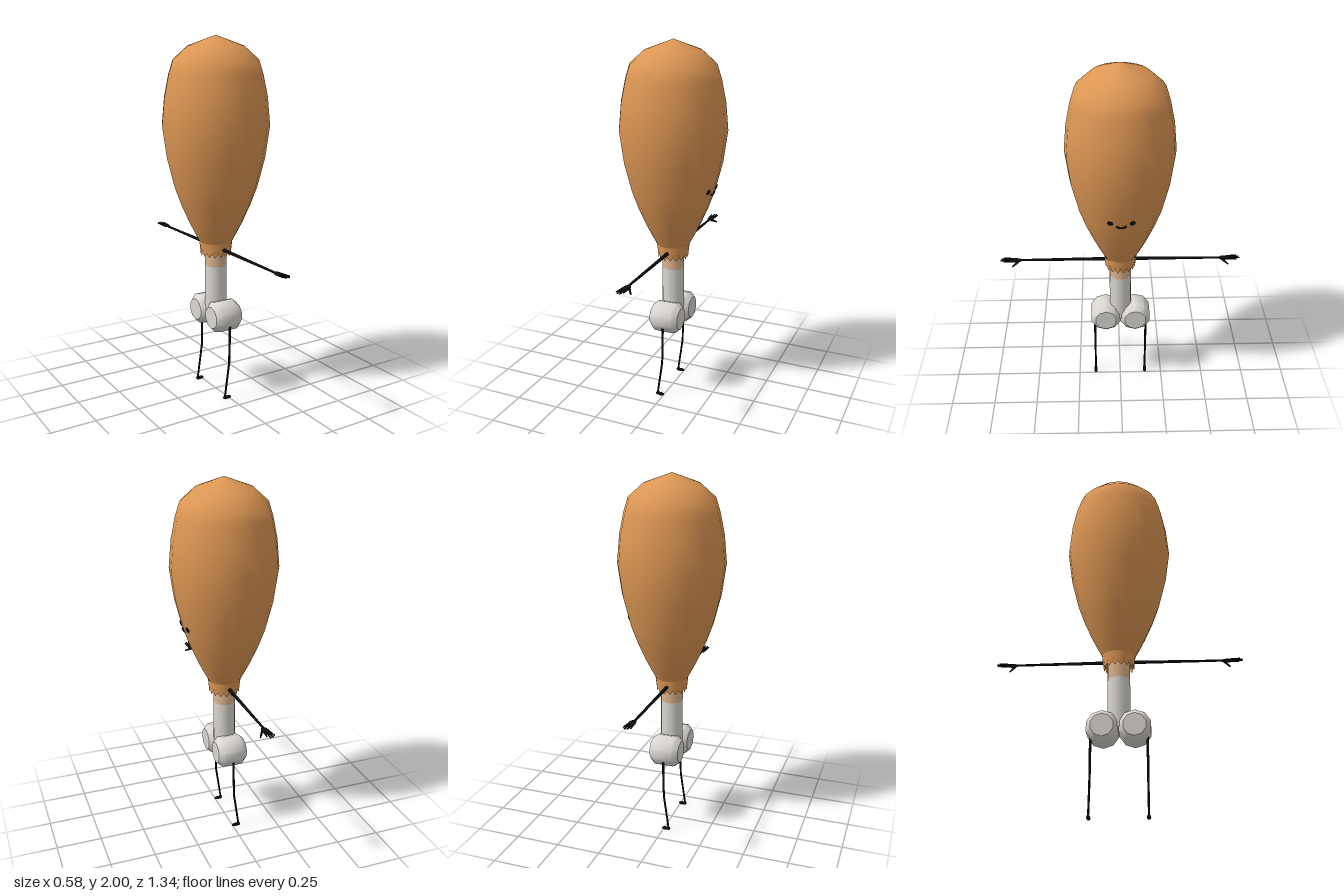
import * as THREE from 'three';
import { toCreasedNormals } from 'three/addons/utils/BufferGeometryUtils.js';

const paint = (name, color) => {
  const m = new THREE.MeshStandardMaterial({ color });
  m.name = name;
  return m;
};
const V = (x, y, z) => new THREE.Vector3(x, y, z);
const UP = V(0, 1, 0);

// Radius and height of the meat, from the neck up
const MEAT = [
  [0.088, 0.885], [0.118, 0.94], [0.148, 1.0], [0.192, 1.1], [0.228, 1.2], [0.268, 1.36], [0.291, 1.53],
  [0.277, 1.68], [0.252, 1.8], [0.228, 1.875], [0.15, 1.945], [0, 2],
];

function meatRadius(y) {
  const i = MEAT.findIndex((p) => p[1] > y);
  const [r0, y0] = MEAT[i - 1], [r1, y1] = MEAT[i];
  return r0 + ((r1 - r0) * (y - y0)) / (y1 - y0);
}

// A point on the face side (+x) of the meat
function onMeat(y, z, lift) {
  const r = meatRadius(y) * 0.993 + lift;
  return V(Math.sqrt(r * r - z * z), y, z);
}

export function createModel() {
  const root = new THREE.Group();
  root.name = 'drumstickFigure';
  const brown = paint('roasted brown', 0xdc9653);
  const tan = paint('pale tan', 0xdcb48e);
  const bone = paint('bone', 0xdad7d2);
  const black = paint('black', 0x0c0c0c);
  const brownOpen = paint('cuff brown', 0xdc9653);
  brownOpen.side = THREE.DoubleSide;

  const add = (name, geo, mat, parent = root) => {
    const mesh = new THREE.Mesh(geo, mat);
    mesh.name = name;
    parent.add(mesh);
    return mesh;
  };
  const group = (name) => {
    const g = new THREE.Group();
    g.name = name;
    root.add(g);
    return g;
  };
  // Tapered rod between two points
  const rod = (name, a, b, ra, rb, parent) => {
    const dir = b.clone().sub(a);
    const m = add(name, new THREE.CylinderGeometry(rb, ra, dir.length(), 8), black, parent);
    m.position.copy(a).add(b).multiplyScalar(0.5);
    m.quaternion.setFromUnitVectors(UP, dir.normalize());
    return m;
  };
  const blob = (name, center, scale, parent) => {
    const m = add(name, new THREE.SphereGeometry(1, 10, 8), black, parent);
    m.position.copy(center);
    m.scale.set(...scale);
    return m;
  };

  // Meat
  add('meat', new THREE.LatheGeometry(MEAT.map((p) => new THREE.Vector2(...p)), 20), brown);

  // Ragged cuff: every other bottom vertex is pulled up
  const cuff = new THREE.CylinderGeometry(0.091, 0.083, 0.08, 32, 1, true);
  const pos = cuff.attributes.position;
  for (let i = 0; i < pos.count; i++) {
    if (pos.getY(i) < 0 && i % 2) pos.setY(i, -0.018);
  }
  cuff.translate(0, 0.848, 0);
  add('cuff', cuff, brownOpen);
  const floor = new THREE.RingGeometry(0.055, 0.086, 32);
  floor.rotateX(Math.PI / 2);
  floor.translate(0, 0.842, 0);
  add('cuffUnderside', floor, brownOpen);

  // Bone shaft with a tan collar
  const collar = new THREE.CylinderGeometry(0.061, 0.061, 0.1, 20, 1, true);
  add('collar', collar, tan).position.y = 0.8;
  const shaft = new THREE.CylinderGeometry(0.061, 0.061, 0.28, 20);
  add('boneShaft', shaft, bone).position.y = 0.61;

  // Bone knobs, lying along x
  const knobProfile = [[0, -0.083], [0.062, -0.083], [0.088, -0.055], [0.088, 0.055], [0.062, 0.083], [0, 0.083]];
  for (const s of [1, -1]) {
    const knob = new THREE.LatheGeometry(knobProfile.map((p) => new THREE.Vector2(...p)), 10);
    knob.rotateY(Math.PI / 10);
    knob.rotateZ(-Math.PI / 2);
    add(s > 0 ? 'knobFront' : 'knobBack', toCreasedNormals(knob, 0.78), bone).position.set(0, 0.475, s * 0.085);
  }

  // Face on the +x side
  for (const s of [1, -1]) {
    const p = onMeat(1.223, s * 0.058, 0.002);
    const eye = blob(s > 0 ? 'eyeRight' : 'eyeLeft', p, [0.016, 0.005, 0.016]);
    eye.quaternion.setFromUnitVectors(UP, V(p.x, -0.085, p.z).normalize());
  }
  const smilePath = new THREE.CatmullRomCurve3(
    [-1, -0.55, 0, 0.55, 1].map((t) => onMeat(1.195 + 0.013 * t * t, t * 0.028, 0.002)),
  );
  add('smile', new THREE.TubeGeometry(smilePath, 16, 0.005, 6), black);

  for (const s of [1, -1]) {
    const side = s > 0 ? 'Front' : 'Back';

    // Arm and hand reaching out along z
    const arm = group('arm' + side);
    rod('armRod', V(0, 0.853, s * 0.07), V(0, 0.851, s * 0.56), 0.01, 0.006, arm);
    blob('palm', V(0.002, 0.851, s * 0.588), [0.02, 0.008, 0.038], arm);
    const fingers = [[-0.012, -0.019, 0.654], [-0.004, -0.006, 0.668], [0.006, 0.008, 0.67], [0.014, 0.021, 0.652]];
    for (const [x0, x1, z] of fingers) {
      rod('finger', V(x0, 0.852, s * 0.6), V(x1, 0.854, s * z), 0.0055, 0.0035, arm);
    }
    rod('thumb', V(0.01, 0.847, s * 0.572), V(0.035, 0.829, s * 0.605), 0.007, 0.004, arm);

    // Leg bent at the knee, with a small foot
    const leg = group('leg' + side);
    const knee = V(-0.004, 0.215, s * 0.15);
    const ankle = V(-0.032, 0.016, s * 0.151);
    rod('thigh', V(0, 0.43, s * 0.15), knee, 0.007, 0.006, leg);
    blob('knee', knee, [0.0062, 0.0062, 0.0062], leg);
    rod('shin', knee, ankle, 0.006, 0.0055, leg);
    blob('heel', V(-0.03, 0.011, s * 0.151), [0.013, 0.011, 0.01], leg);
    blob('foot', V(-0.014, 0.009, s * 0.151), [0.022, 0.009, 0.011], leg);
  }
  return root;
}
